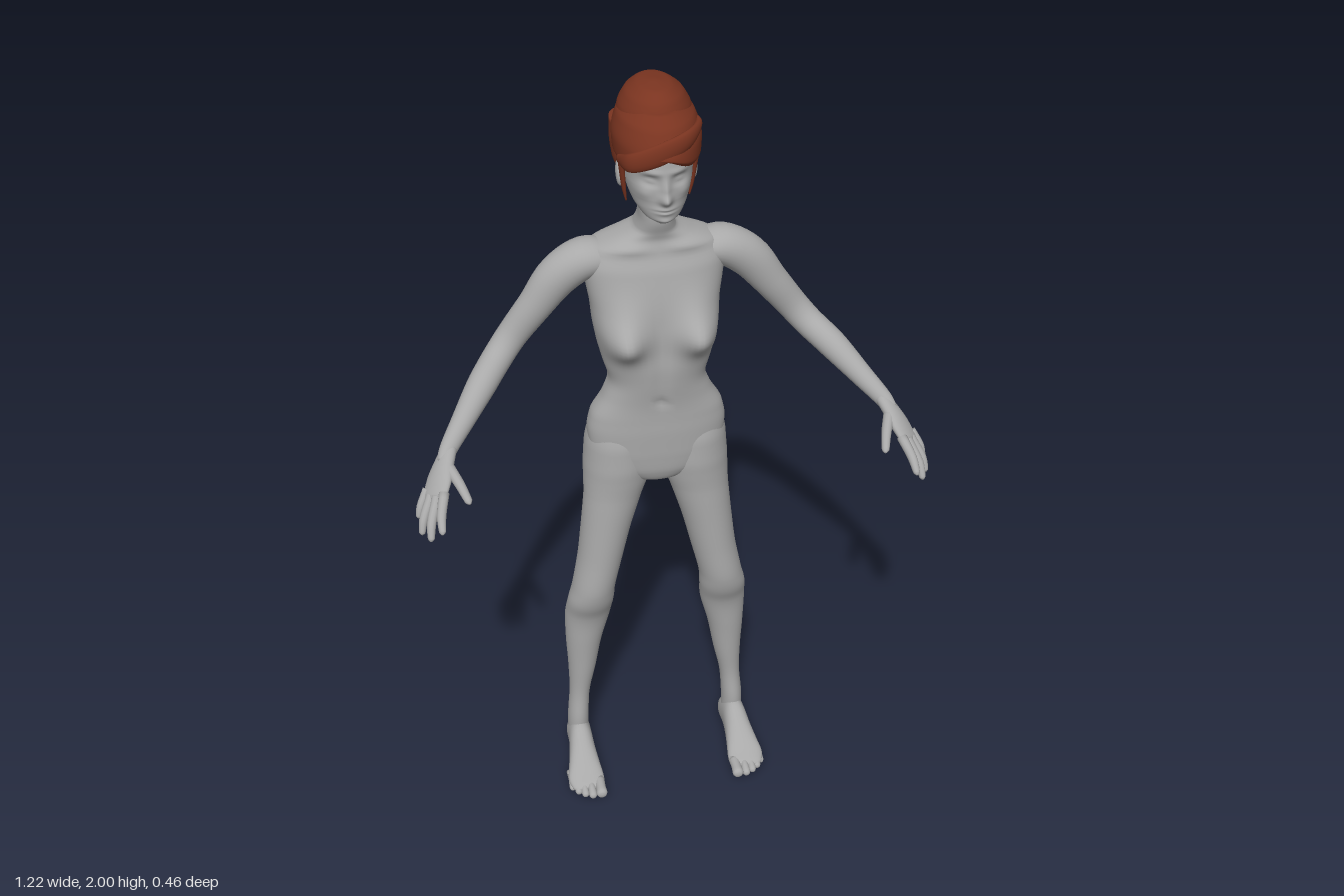
import * as THREE from 'three';

const V = (x, y, z) => new THREE.Vector3(x, y, z);

// Smooth closed skin through elliptical sections [x, y, z, halfWidth, halfDepth].
// axes = fixed [u, v] ring axes, or ref = the width direction to follow along the path.
function loft(sections, { axes, ref, n = 28, steps = 5, power = 1, deform } = {}) {
  const path = new THREE.CatmullRomCurve3(sections.map(s => V(s[0], s[1], s[2])));
  const size = new THREE.CatmullRomCurve3(sections.map(s => V(s[3], s[4], 0)));
  const rings = (sections.length - 1) * steps;
  const pos = [], idx = [];
  const shape = c => Math.sign(c) * Math.abs(c) ** power;
  for (let i = 0; i <= rings; i++) {
    const c = path.getPoint(i / rings), r = size.getPoint(i / rings);
    let u, v;
    if (axes) [u, v] = axes;
    else {
      const t = path.getTangent(i / rings);
      v = t.clone().cross(ref).normalize();
      u = v.clone().cross(t);
    }
    for (let j = 0; j < n; j++) {
      const a = j / n * Math.PI * 2;
      const p = c.clone().addScaledVector(u, r.x * shape(Math.cos(a))).addScaledVector(v, r.y * shape(Math.sin(a)));
      if (deform) deform(p, Math.sin(a));
      pos.push(p.x, p.y, p.z);
      if (i < rings) {
        const k = (j + 1) % n, A = i * n + j, B = i * n + k;
        idx.push(A, B, A + n, B, B + n, A + n);
      }
    }
  }
  // end caps
  for (const [ring, flip] of [[0, true], [rings, false]]) {
    const mid = V(0, 0, 0), o = ring * n, id = pos.length / 3;
    for (let j = 0; j < n; j++) mid.add(V(pos[(o + j) * 3], pos[(o + j) * 3 + 1], pos[(o + j) * 3 + 2]));
    mid.divideScalar(n);
    pos.push(mid.x, mid.y, mid.z);
    for (let j = 0; j < n; j++) {
      const A = o + j, B = o + (j + 1) % n;
      idx.push(...(flip ? [B, A, id] : [A, B, id]));
    }
  }
  const g = new THREE.BufferGeometry();
  g.setAttribute('position', new THREE.Float32BufferAttribute(pos, 3));
  g.setIndex(idx);
  g.computeVertexNormals();
  return g;
}

// Horizontal slices from the top down: [y, centreX, halfWidth, frontZ, backZ]
const UPRIGHT = [V(1, 0, 0), V(0, 0, 1)];
const slices = (rows, s = 1) => rows.map(([y, x, w, f, b]) => [x * s, y, (f + b) / 2, w, (f - b) / 2]);
const mirrored = (rows, s) => rows.map(([x, ...rest]) => [x * s, ...rest]);

// Soft relief bumps [x, y, height, spreadX, spreadY], mirrored in x
const relief = (list, x, y) => list.reduce((sum, [bx, by, h, sx, sy]) =>
  sum + h * Math.exp(-(((Math.abs(x) - bx) / sx) ** 2) - ((y - by) / sy) ** 2), 0);

export function createModel() {
  const model = new THREE.Group();
  const skin = new THREE.MeshStandardMaterial({ color: 0xa9a9a9 });
  skin.name = 'grey skin';
  const hair = new THREE.MeshStandardMaterial({ color: 0x7a3420 });
  hair.name = 'auburn hair';
  const add = (name, geometry, material = skin) => {
    const m = new THREE.Mesh(geometry, material);
    m.name = name;
    model.add(m);
    return m;
  };

  // Torso with neck
  const chest = [[0.092, 1.385, 0.058, 0.05, 0.05], [0.085, 1.45, 0.012, 0.05, 0.05],
    [0, 1.2, -0.008, 0.01, 0.012], [0, 1.32, -0.006, 0.015, 0.1], [0.07, 1.605, 0.008, 0.06, 0.012]];
  const back = [[0, 1.36, 0.016, 0.022, 0.2], [0.09, 1.48, -0.008, 0.04, 0.07]];
  add('torso', loft(slices([
    [1.73, 0, 0.04, -0.06, -0.165], [1.68, 0, 0.04, -0.06, -0.17], [1.645, 0, 0.05, -0.07, -0.185],
    [1.622, 0, 0.092, -0.075, -0.2], [1.595, 0, 0.15, -0.07, -0.217], [1.55, 0, 0.168, -0.055, -0.225],
    [1.5, 0, 0.162, -0.045, -0.223], [1.45, 0, 0.154, -0.038, -0.218], [1.4, 0, 0.15, -0.034, -0.21],
    [1.35, 0, 0.142, -0.03, -0.2], [1.3, 0, 0.13, -0.026, -0.19], [1.25, 0, 0.118, -0.03, -0.182],
    [1.2, 0, 0.134, -0.037, -0.178], [1.15, 0, 0.162, -0.04, -0.186], [1.1, 0, 0.171, -0.04, -0.192],
    [1.04, 0, 0.165, -0.042, -0.188], [0.99, 0, 0.13, -0.047, -0.18], [0.955, 0, 0.07, -0.062, -0.165],
    [0.938, 0, 0.02, -0.09, -0.14],
  ]), {
    axes: UPRIGHT, n: 64, steps: 5, power: 0.85,
    deform: (p, s) => {
      if (s > 0) p.z += relief(chest, p.x, p.y) * Math.min(1, 2 * s);
      else p.z += relief(back, p.x, p.y) * Math.min(1, -2 * s);
    },
  }));

  // Head with modelled face
  const face = [[0, 1.774, 0.02, 0.013, 0.014], [0, 1.8, 0.011, 0.01, 0.022], [0.033, 1.817, -0.012, 0.018, 0.012],
    [0.033, 1.816, 0.007, 0.012, 0.006], [0, 1.744, 0.009, 0.022, 0.01], [0, 1.744, -0.006, 0.022, 0.003],
    [0, 1.716, 0.006, 0.018, 0.01], [0.05, 1.785, 0.006, 0.018, 0.016], [0.03, 1.838, 0.004, 0.022, 0.007]];
  add('head', loft(slices([
    [1.95, 0, 0.05, -0.04, -0.17], [1.92, 0, 0.07, -0.01, -0.19], [1.88, 0, 0.08, 0.006, -0.2],
    [1.84, 0, 0.08, 0.01, -0.2], [1.8, 0, 0.077, 0.009, -0.19], [1.77, 0, 0.07, 0.008, -0.17],
    [1.745, 0, 0.06, 0.007, -0.14], [1.72, 0, 0.042, 0.005, -0.1], [1.704, 0, 0.018, -0.012, -0.07],
  ]), {
    axes: UPRIGHT, n: 96, steps: 10,
    deform: (p, s) => { if (s > 0) p.z += relief(face, p.x, p.y) * Math.min(1, 2 * s); },
  }));

  // Hair: swept cap, crown bun and nape
  add('hairCap', loft(slices([
    [1.96, 0, 0.06, -0.03, -0.2], [1.935, 0, 0.086, 0.004, -0.223], [1.89, 0, 0.099, 0.026, -0.226],
    [1.855, 0, 0.097, 0.031, -0.226], [1.835, 0, 0.088, 0.02, -0.215],
  ]), {
    axes: UPRIGHT, n: 48, steps: 6,
    deform: (p, s) => {
      if (s > 0 && p.y < 1.89) p.y += (1.89 - p.y) * 0.65 * s * Math.exp(-(((p.x + 0.01) / 0.06) ** 2));
    },
  }), hair);
  add('hairBun', loft(slices([
    [2, 0, 0.008, -0.11, -0.13], [1.994, 0, 0.038, -0.068, -0.18], [1.975, 0, 0.064, -0.042, -0.207],
    [1.945, 0, 0.081, -0.028, -0.22], [1.91, 0, 0.086, -0.03, -0.22],
  ]), { axes: UPRIGHT, n: 40 }), hair);
  add('napeHair', loft(slices([
    [1.9, 0, 0.094, -0.1, -0.227], [1.85, 0, 0.094, -0.11, -0.226], [1.8, 0, 0.087, -0.12, -0.222],
    [1.76, 0, 0.072, -0.125, -0.208], [1.73, 0, 0.052, -0.13, -0.185], [1.722, 0, 0.03, -0.14, -0.172],
  ]), { axes: UPRIGHT, n: 36 }), hair);
  add('fringeRoll', loft([
    [-0.092, 1.85, -0.06, 0.01, 0.006], [-0.075, 1.865, -0.002, 0.022, 0.01], [-0.015, 1.89, 0.02, 0.026, 0.01],
    [0.05, 1.912, 0.002, 0.022, 0.01], [0.084, 1.92, -0.05, 0.01, 0.008], [0.088, 1.915, -0.1, 0.005, 0.004],
  ], { ref: V(0, 1, 0), n: 16, steps: 8 }), hair);

  for (const s of [1, -1]) {
    const side = s > 0 ? 'left' : 'right';
    const X = V(s, 0, 0);

    // Ear and loose lock
    const ear = add(side + 'Ear', new THREE.SphereGeometry(1, 16, 12));
    ear.scale.set(0.01, 0.033, 0.019);
    ear.position.set(0.082 * s, 1.795, -0.103);
    ear.rotation.set(-0.2, 0.25 * s, 0);
    add(side + 'Lock', loft(mirrored([
      [0.084, 1.86, -0.075, 0.018, 0.01], [0.081, 1.81, -0.078, 0.012, 0.007],
      [0.077, 1.765, -0.082, 0.009, 0.005], [0.072, 1.732, -0.084, 0.003, 0.002],
    ], s), { ref: V(0, 0, 1), n: 12 }), hair);

    // Leg
    add(side + 'Leg', loft(slices([
      [1.17, 0.08, 0.035, -0.085, -0.15], [1.12, 0.087, 0.074, -0.06, -0.188], [1.06, 0.092, 0.084, -0.046, -0.211],
      [1.0, 0.094, 0.087, -0.044, -0.212], [0.95, 0.1, 0.083, -0.047, -0.2], [0.9, 0.11, 0.074, -0.05, -0.184],
      [0.8, 0.13, 0.064, -0.05, -0.179], [0.7, 0.148, 0.058, -0.05, -0.174], [0.61, 0.167, 0.056, -0.05, -0.165],
      [0.56, 0.175, 0.06, -0.06, -0.164], [0.5, 0.181, 0.06, -0.084, -0.182], [0.4, 0.193, 0.048, -0.096, -0.189],
      [0.3, 0.2, 0.037, -0.104, -0.185], [0.2, 0.21, 0.027, -0.11, -0.177], [0.12, 0.216, 0.028, -0.103, -0.177],
      [0.05, 0.217, 0.028, -0.105, -0.178],
    ], s), { axes: UPRIGHT, n: 36 }));

    // Foot and toes
    add(side + 'Foot', loft(mirrored([
      [0.215, 0.03, -0.191, 0.008, 0.012], [0.215, 0.036, -0.182, 0.024, 0.032], [0.216, 0.046, -0.155, 0.032, 0.047],
      [0.217, 0.055, -0.11, 0.032, 0.057], [0.219, 0.045, -0.065, 0.036, 0.046], [0.221, 0.032, -0.02, 0.043, 0.032],
      [0.222, 0.021, 0.015, 0.048, 0.02], [0.219, 0.015, 0.04, 0.043, 0.013], [0.217, 0.013, 0.05, 0.034, 0.007],
    ], s), { axes: [V(1, 0, 0), V(0, 1, 0)], power: 0.9, deform: p => { p.y = Math.max(p.y, 0); } }));
    [[0.189, 0.08, 0.015], [0.213, 0.078, 0.011], [0.232, 0.069, 0.01], [0.248, 0.056, 0.01], [0.262, 0.038, 0.009]]
      .forEach(([x, z, r], i) => add(`${side}Toe${i + 1}`, loft(mirrored([
        [x, 0.017, z - 0.06, r, r], [x, 0.017, z - 0.03, r * 0.9, r * 0.9], [x, r, z - 0.01, r, r * 0.95],
        [x, r * 0.9, z - 0.002, r * 0.7, r * 0.65], [x, r * 0.9, z, r * 0.2, r * 0.2],
      ], s), { axes: [V(1, 0, 0), V(0, 1, 0)], n: 14, steps: 3 })));

    // Arm
    add(side + 'Arm', loft(mirrored([
      [0.09, 1.56, -0.145, 0.045, 0.03], [0.16, 1.563, -0.14, 0.054, 0.048], [0.222, 1.528, -0.135, 0.046, 0.05],
      [0.28, 1.455, -0.133, 0.037, 0.042], [0.34, 1.375, -0.135, 0.034, 0.037], [0.375, 1.335, -0.117, 0.035, 0.036],
      [0.42, 1.3, -0.065, 0.034, 0.035], [0.48, 1.243, 0.003, 0.026, 0.027], [0.522, 1.203, 0.053, 0.019, 0.021],
      [0.535, 1.185, 0.075, 0.015, 0.017],
    ], s), { ref: V(0, 0, 1), n: 30 }));

    // Hand: flat palm, four fingers and thumb
    const across = V(0.035 * s, -0.01, -0.05).normalize();
    add(side + 'Palm', loft(mirrored([
      [0.515, 1.21, 0.045, 0.018, 0.016], [0.532, 1.188, 0.073, 0.026, 0.017], [0.55, 1.16, 0.105, 0.036, 0.016],
      [0.565, 1.135, 0.13, 0.036, 0.012], [0.568, 1.13, 0.136, 0.026, 0.007],
    ], s), { ref: across, n: 24 }));
    [
      [[0.544, 1.15, 0.143], [0.557, 1.122, 0.192], [0.56, 1.098, 0.228], 0.011],
      [[0.56, 1.138, 0.137], [0.58, 1.095, 0.177], [0.586, 1.06, 0.2], 0.011],
      [[0.572, 1.134, 0.122], [0.596, 1.09, 0.152], [0.604, 1.056, 0.166], 0.0105],
      [[0.58, 1.138, 0.104], [0.599, 1.105, 0.122], [0.607, 1.078, 0.13], 0.0095],
      [[0.528, 1.187, 0.085], [0.506, 1.165, 0.138], [0.49, 1.145, 0.188], 0.012],
    ].forEach(([a, m, t, r], i) => {
      const near = t.map((c, k) => c + (m[k] - c) * 0.15);
      add(side + (i < 4 ? `Finger${i + 1}` : 'Thumb'), loft(mirrored([
        [...a, r * 1.15, r * 1.1], [...m, r, r], [...near, r * 0.75, r * 0.7], [...t, r * 0.25, r * 0.25],
      ], s), { ref: i < 4 ? across : X, n: 12, steps: 4 }));
    });
  }
  return model;
}
